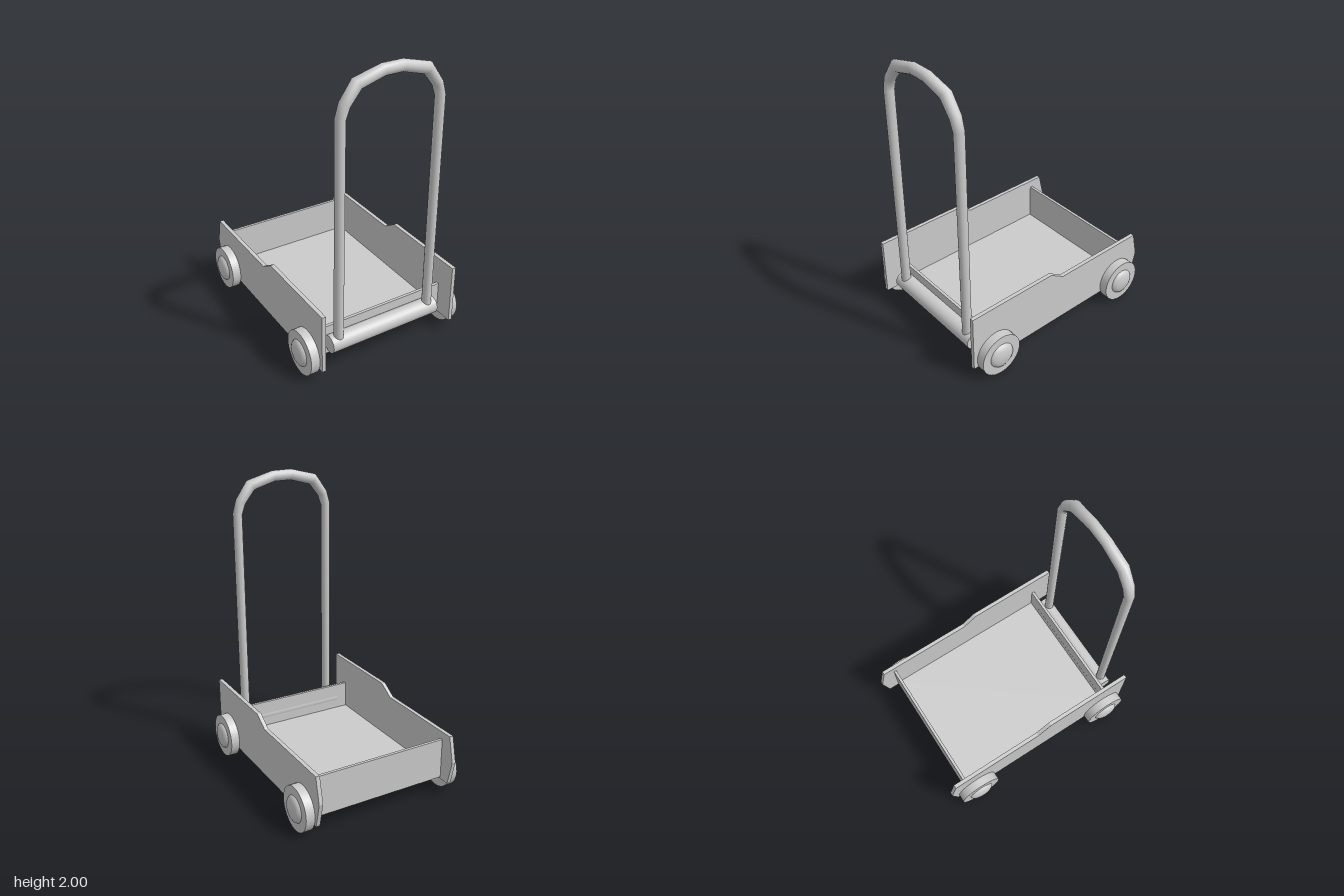
import * as THREE from 'three';

const material = new THREE.MeshStandardMaterial({ color: 0xcccccc });

function add(parent, name, geometry, x = 0, y = 0, z = 0) {
  const mesh = new THREE.Mesh(geometry, material);
  mesh.name = name;
  mesh.position.set(x, y, z);
  parent.add(mesh);
  return mesh;
}

// Sweeps an oval ring along a path in the xy plane; each station is [x, y, radius, zRadius]
function sweep(stations, sides) {
  const points = stations.map(([x, y]) => new THREE.Vector2(x, y));
  const last = points.length - 1;
  const positions = [], indices = [];
  stations.forEach(([x, y, r, rz], i) => {
    const t = new THREE.Vector2();
    if (i > 0) t.add(points[i].clone().sub(points[i - 1]).normalize());
    if (i < last) t.add(points[i + 1].clone().sub(points[i]).normalize());
    t.normalize();
    for (let j = 0; j < sides; j++) {
      const a = (j / sides) * Math.PI * 2;
      const c = Math.cos(a) * r;
      positions.push(x - t.y * c, y + t.x * c, Math.sin(a) * rz);
      if (i < last) {
        const p = i * sides + j, q = i * sides + (j + 1) % sides;
        indices.push(p, q, p + sides, q, q + sides, p + sides);
      }
    }
  });
  const geometry = new THREE.BufferGeometry();
  geometry.setAttribute('position', new THREE.Float32BufferAttribute(positions, 3));
  geometry.setIndex(indices);
  geometry.computeVertexNormals();
  return geometry;
}

// Wheel with a domed hub cap, outer face towards +x
function makeWheel(name) {
  const wheel = new THREE.Group();
  wheel.name = name;
  const tyre = add(wheel, 'tyre', new THREE.CylinderGeometry(0.151, 0.151, 0.06, 32), 0.03);
  const profile = [];
  for (let i = 0; i <= 4; i++) {
    const a = (i / 4) * Math.PI / 2;
    profile.push(new THREE.Vector2(0.09 * Math.cos(a), 0.034 * Math.sin(a)));
  }
  const cap = add(wheel, 'hubCap', new THREE.LatheGeometry(profile, 24), 0.06);
  tyre.rotation.z = cap.rotation.z = -Math.PI / 2;
  return wheel;
}

export function createModel() {
  const cart = new THREE.Group();
  cart.name = 'pushCart';

  // Open tray
  add(cart, 'floor', new THREE.BoxGeometry(0.97, 0.02, 1.22), 0, 0.121, 0);
  add(cart, 'backPanel', new THREE.BoxGeometry(0.97, 0.28, 0.02), 0, 0.251, -0.618);
  add(cart, 'frontPanel', new THREE.BoxGeometry(0.97, 0.21, 0.02), 0, 0.216, 0.604);

  // Stepped side panels, profile drawn as (z, y)
  const outline = new THREE.Shape([
    [0.742, 0.098], [0.742, 0.512], [0.09, 0.512], [-0.015, 0.445],
    [-0.703, 0.445], [-0.743, 0.27], [-0.703, 0.098],
  ].map(([z, y]) => new THREE.Vector2(z, y)));
  const sideGeometry = new THREE.ExtrudeGeometry(outline, { depth: 0.027, bevelEnabled: false });
  for (const [name, x] of [['leftPanel', 0.508], ['rightPanel', -0.481]]) {
    add(cart, name, sideGeometry, x).rotation.y = -Math.PI / 2;
  }

  // Wheels
  for (const [end, z] of [['front', 0.565], ['back', -0.54]]) {
    for (const [side, s] of [['Left', 1], ['Right', -1]]) {
      const wheel = makeWheel(end + side + 'Wheel');
      wheel.position.set(s * 0.508, 0.153, z);
      if (s < 0) wheel.rotation.y = Math.PI;
      cart.add(wheel);
    }
  }

  // Round crossbar carrying the handle
  const bar = add(cart, 'crossbar', new THREE.CylinderGeometry(0.06, 0.06, 0.806, 24), 0, 0.21, 0.652);
  bar.rotation.z = Math.PI / 2;

  // Bent handle, mirrored about the middle
  const half = [
    [0.342, 0.22, 0.032, 0.032], [0.342, 1.73, 0.032, 0.035], [0.316, 1.81, 0.035, 0.038],
    [0.238, 1.915, 0.041, 0.04], [0.065, 1.962, 0.038, 0.036],
  ];
  const mirrored = half.map(([x, ...rest]) => [-x, ...rest]).reverse();
  add(cart, 'handle', sweep([...half, ...mirrored], 16), 0, 0, 0.665);

  return cart;
}
